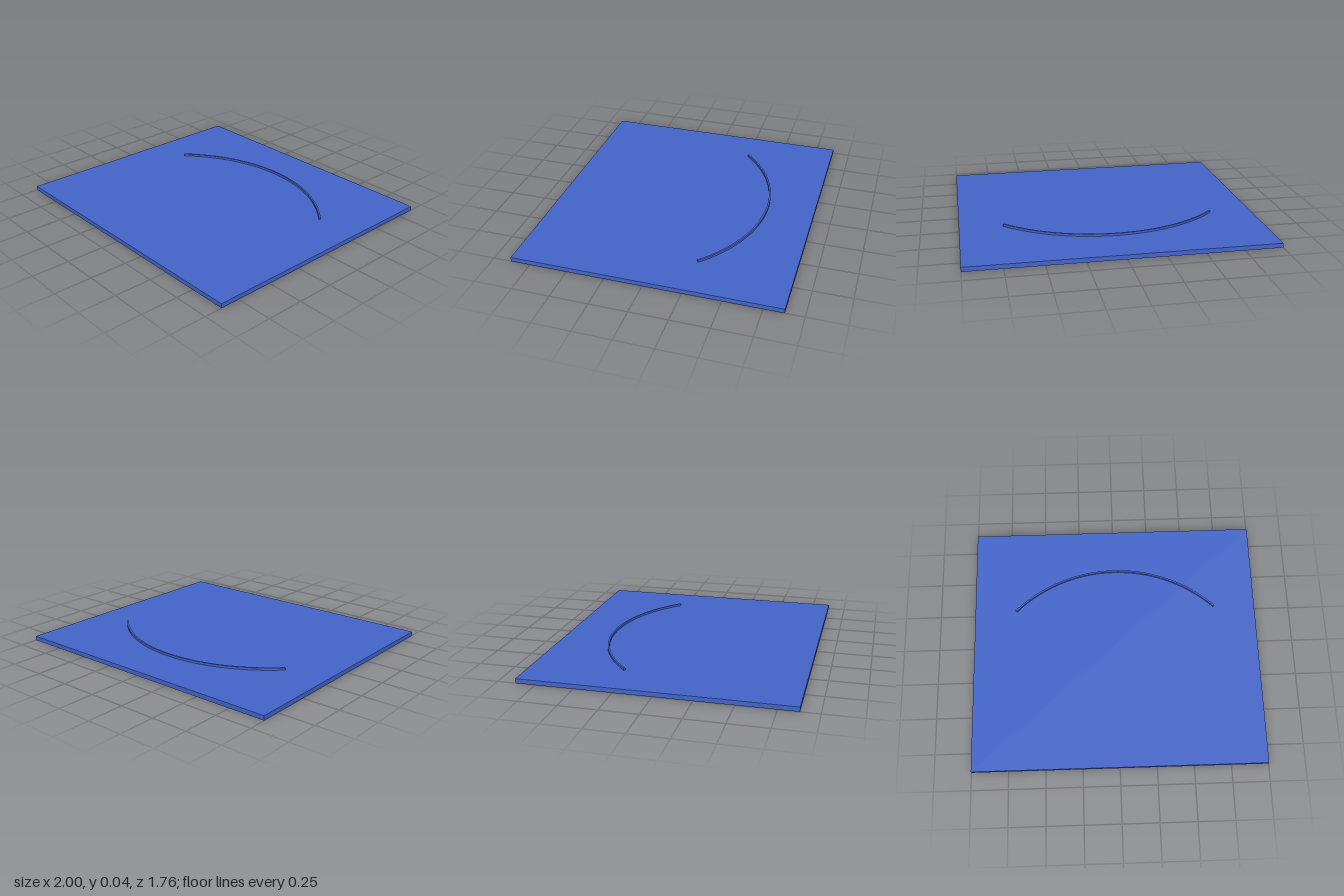
import * as THREE from 'three';

export function createModel() {
  const group = new THREE.Group();
  const material = new THREE.MeshStandardMaterial({ color: 0x4466cc });
  const thickness = 0.03;

  // Flat rectangular base, standing on y = 0
  const plate = new THREE.Mesh(new THREE.BoxGeometry(2, thickness, 1.76), material);
  plate.name = 'basePlate';
  plate.position.y = thickness / 2;
  group.add(plate);

  // Thin raised quarter-circle rib, bowed towards the back
  const radius = 1, halfWidth = 0.006, ribHeight = 0.015;
  const start = Math.PI / 4, end = 3 * Math.PI / 4;
  const outline = new THREE.Shape();
  outline.absarc(0, 0, radius + halfWidth, start, end, false);
  outline.absarc(0, 0, radius - halfWidth, end, start, true);
  outline.closePath();
  const ribGeometry = new THREE.ExtrudeGeometry(outline, {
    depth: ribHeight, bevelEnabled: false, curveSegments: 48,
  });
  ribGeometry.rotateX(-Math.PI / 2);
  const rib = new THREE.Mesh(ribGeometry, material);
  rib.name = 'curvedRib';
  rib.position.set(0, thickness, 0.44);
  group.add(rib);

  return group;
}
